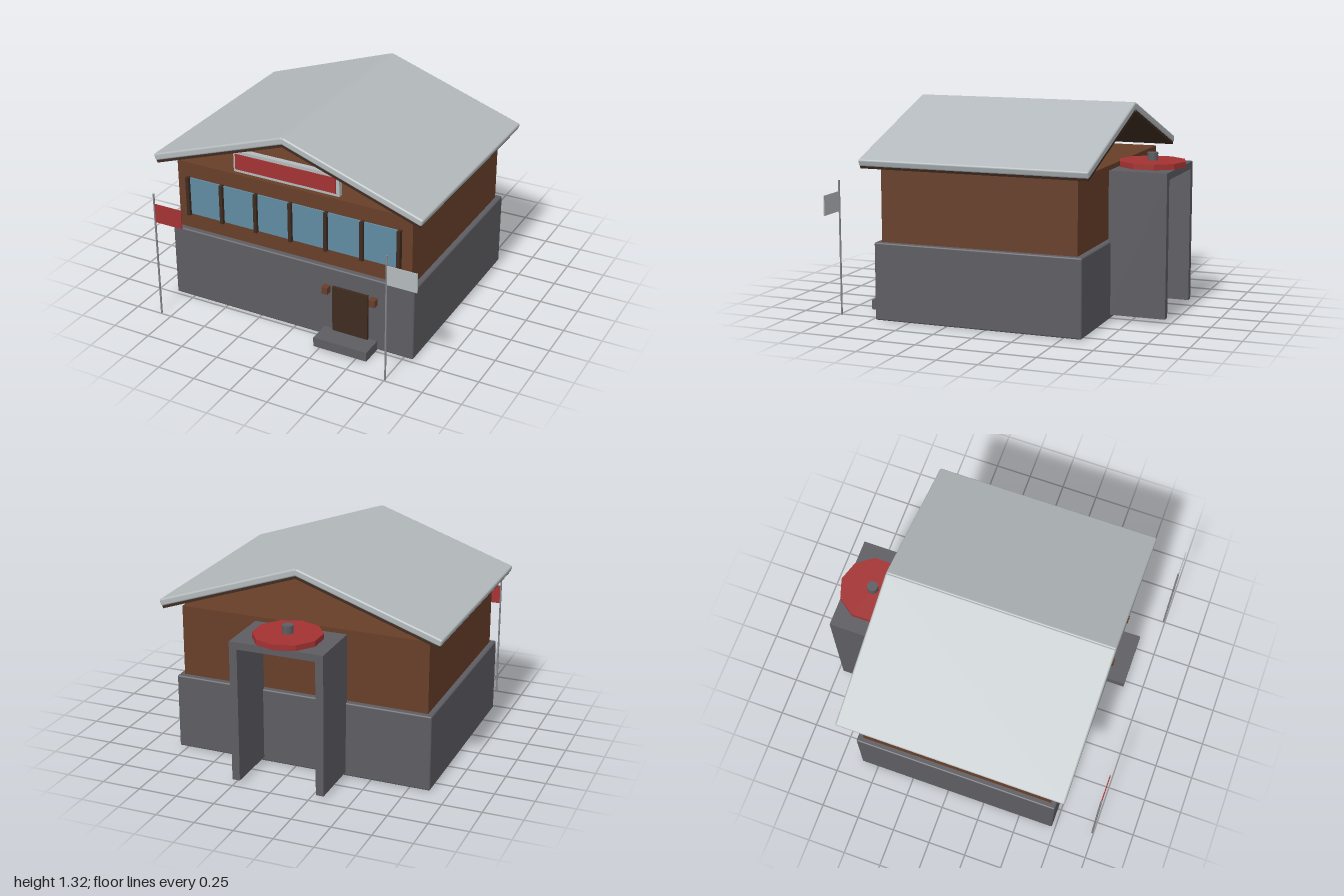
import * as THREE from 'three';
import { RoundedBoxGeometry } from 'three/addons/geometries/RoundedBoxGeometry.js';

const mat = (name, color, side = THREE.FrontSide) => {
  const m = new THREE.MeshStandardMaterial({ color, side });
  m.name = name;
  return m;
};

export function createModel() {
  const model = new THREE.Group();
  model.name = 'lodge';

  const concrete = mat('concrete', 0x5d5c62);
  const wood = mat('wood', 0x683f29);
  const darkWood = mat('darkWood', 0x3f2b20);
  const lightGrey = mat('lightGrey', 0xb3b9bc);
  const red = mat('red', 0xa33232);
  const glass = mat('glass', 0x618ba2);
  const steel = mat('steel', 0x85888b);
  const CX = -0.035; // centre line of the building

  const add = (name, geometry, material, parent = model) => {
    const mesh = new THREE.Mesh(geometry, material);
    mesh.name = name;
    parent.add(mesh);
    return mesh;
  };

  // Box given by its extents on each axis; a radius rounds its edges
  const box = (name, material, [x0, x1], [y0, y1], [z0, z1], radius = 0, parent = model) => {
    const size = [x1 - x0, y1 - y0, z1 - z0];
    const geometry = radius ? new RoundedBoxGeometry(...size, 2, radius) : new THREE.BoxGeometry(...size);
    const mesh = add(name, geometry, material, parent);
    mesh.position.set((x0 + x1) / 2, (y0 + y1) / 2, (z0 + z1) / 2);
    return mesh;
  };

  // Storeys
  box('groundFloor', concrete, [-0.88, 0.81], [0, 0.487], [-0.614, 0.727], 0.01);
  box('upperFloor', wood, [-0.845, 0.775], [0.47, 0.945], [-0.576, 0.69]);

  // Roof: two sloping slabs with dark boarding underneath
  for (const s of [-1, 1]) {
    const slope = new THREE.Group();
    slope.name = s < 0 ? 'roofRight' : 'roofLeft';
    slope.position.set(CX, 1.32, 0.058);
    slope.rotation.z = -s * THREE.MathUtils.degToRad(19);
    model.add(slope);
    const slab = add('roofSlab', new RoundedBoxGeometry(0.973, 0.046, 1.466, 3, 0.012), lightGrey, slope);
    slab.position.set(s * 0.4865, -0.023, 0);
    const boards = add('roofBoarding', new THREE.BoxGeometry(0.945, 0.018, 1.455), darkWood, slope);
    boards.position.set(s * 0.4935, -0.052, 0);
  }

  // Window band with evenly spaced mullions
  box('windowGlass', glass, [-0.765, 0.695], [0.593, 0.845], [0.69, 0.699]);
  for (let i = 0; i < 7; i++) {
    const x = CX + (i - 3) * 0.2433;
    box('mullion', darkWood, [x - 0.011, x + 0.011], [0.587, 0.85], [0.69, 0.72]);
  }

  // Gable sign board
  box('signFrame', lightGrey, [-0.395, 0.325], [1, 1.14], [0.715, 0.75]);
  box('signPanel', red, [-0.38, 0.305], [1.02, 1.12], [0.75, 0.757]);

  // Entrance
  box('door', darkWood, [0.27, 0.51], [0.06, 0.37], [0.72, 0.745]);
  box('doorStep', concrete, [0.207, 0.57], [0, 0.062], [0.72, 0.873]);
  for (const x of [0.23, 0.55]) {
    box('doorLamp', wood, [x - 0.02, x + 0.02], [0.32, 0.367], [0.72, 0.77]);
  }

  // Flagpoles
  [[-0.825, red], [0.755, lightGrey]].forEach(([x, cloth]) => {
    const pole = add('flagpole', new THREE.CylinderGeometry(0.006, 0.006, 0.85, 8), steel);
    pole.position.set(x, 0.425, 0.99);
    box('flag', cloth, [x + 0.004, x + 0.195], [0.657, 0.782], [0.987, 0.993]);
  });

  // Rear portal carrying the wheel
  for (const s of [-1, 1]) {
    const x = CX + s * 0.275;
    box('portalLeg', concrete, [x - 0.025, x + 0.025], [0.025, 0.88], [-0.965, -0.598]);
  }
  box('portalTop', concrete, [CX - 0.3, CX + 0.3], [0.88, 0.925], [-0.965, -0.598]);

  const wheelGeometry = new THREE.CylinderGeometry(0.213, 0.213, 0.035, 10).toNonIndexed();
  wheelGeometry.computeVertexNormals();
  add('wheel', wheelGeometry, red).position.set(CX, 0.943, -0.787);
  add('wheelHub', new THREE.CylinderGeometry(0.035, 0.035, 0.09, 10), concrete).position.set(CX, 0.965, -0.787);

  return model;
}
